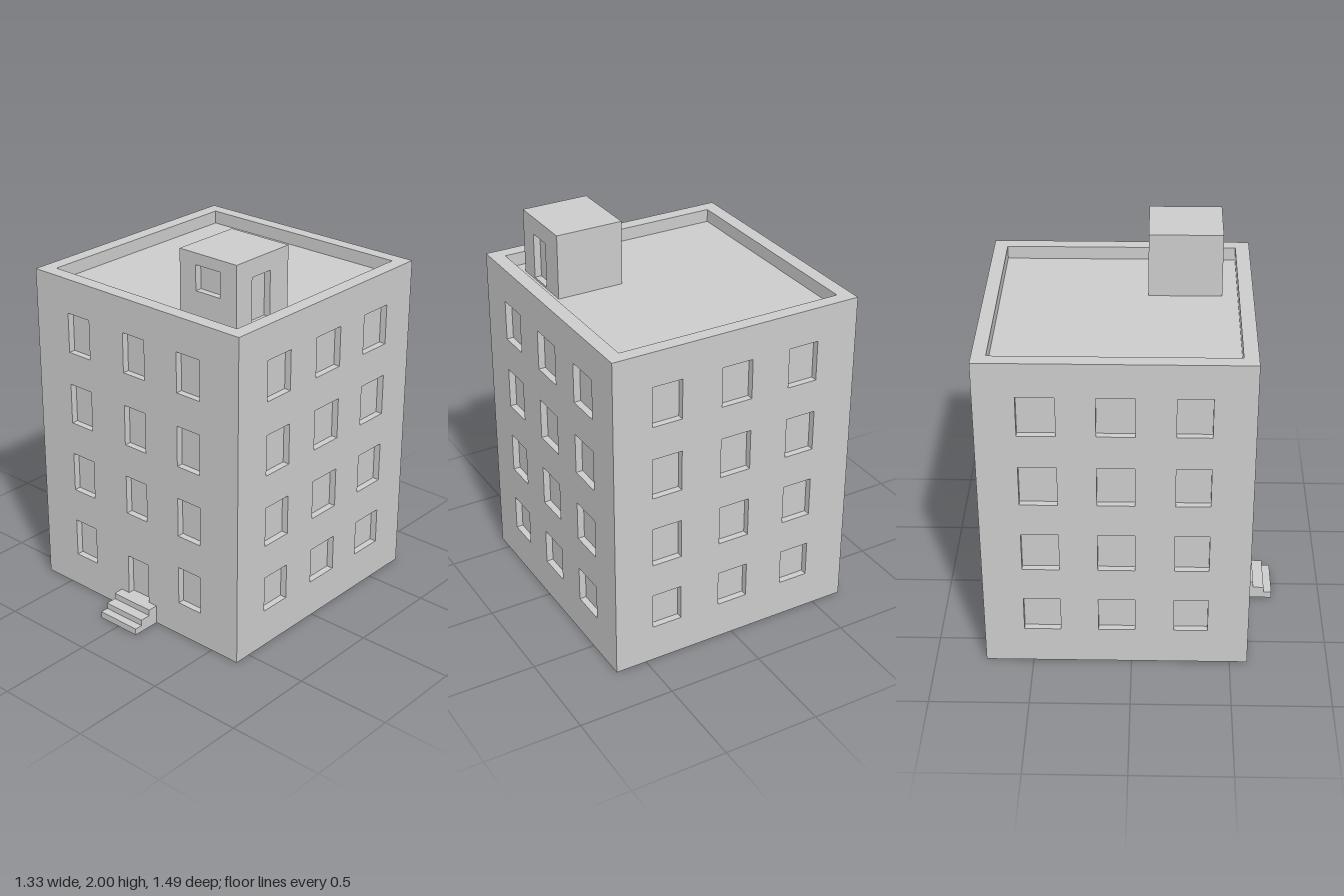
import * as THREE from 'three';

const material = new THREE.MeshStandardMaterial({ color: 0xcccccc, side: THREE.DoubleSide, flatShading: true });

function add(parent, name, geometry) {
  const mesh = new THREE.Mesh(geometry, material);
  mesh.name = name;
  parent.add(mesh);
  return mesh;
}

function rectangle(Type, x0, x1, y0, y1) {
  return new Type([[x0, y0], [x1, y0], [x1, y1], [x0, y1]].map(p => new THREE.Vector2(...p)));
}

// Recess seen from the front: a box without its +z face, turned inside out
function pocket(x0, x1, y0, y1, depth) {
  const g = new THREE.BoxGeometry(x1 - x0, y1 - y0, depth);
  const index = Array.from(g.index.array);
  index.splice(24, 6);
  g.setIndex(index.reverse());
  g.clearGroups();
  g.computeVertexNormals();
  return g.translate((x0 + x1) / 2, (y0 + y1) / 2, -depth / 2);
}

// Flat panel facing +z, base centred on the origin, with recessed openings
function facade(name, w, h, openings = [], depth = 0.035) {
  const group = new THREE.Group();
  group.name = name;
  const shape = rectangle(THREE.Shape, -w / 2, w / 2, 0, h);
  for (const [x0, x1, y0, y1, label] of openings) {
    shape.holes.push(rectangle(THREE.Path, x0, x1, y0, y1));
    add(group, label, pocket(x0, x1, y0, y1, depth));
  }
  add(group, name + 'Surface', new THREE.ShapeGeometry(shape));
  return group;
}

// Four walls and a top, open underneath
function block(name, w, h, d, { front, right, back, left, top, topDepth }) {
  const group = new THREE.Group();
  group.name = name;
  const place = (panel, x, y, z, rx, ry) => {
    panel.position.set(x, y, z);
    panel.rotation.set(rx, ry, 0);
    group.add(panel);
  };
  place(facade('frontWall', w, h, front), 0, 0, d / 2, 0, 0);
  place(facade('backWall', w, h, back), 0, 0, -d / 2, 0, Math.PI);
  place(facade('rightWall', d, h, right), w / 2, 0, 0, 0, Math.PI / 2);
  place(facade('leftWall', d, h, left), -w / 2, 0, 0, 0, -Math.PI / 2);
  place(facade('roof', w, d, top, topDepth), 0, h, d / 2, -Math.PI / 2, 0);
  return group;
}

function windowGrid(columns, rows) {
  return columns.flatMap(c => rows.map(r => [...c, ...r, 'window']));
}

function createSteps() {
  const group = new THREE.Group();
  group.name = 'entranceSteps';
  const width = 0.245;
  const edges = [0.743, 0.7, 0.643, 0.59];
  const heights = [0, 0.035, 0.067, 0.1];
  const profile = [[edges[3], 0], [edges[0], 0]];
  for (let i = 0; i < 3; i++) {
    const rise = heights[i + 1] - heights[i], run = edges[i] - edges[i + 1];
    add(group, 'riser', new THREE.PlaneGeometry(width, rise))
      .position.set(0, heights[i] + rise / 2, edges[i]);
    add(group, 'tread', new THREE.PlaneGeometry(width, run).rotateX(-Math.PI / 2))
      .position.set(0, heights[i + 1], edges[i] - run / 2);
    profile.push([edges[i], heights[i + 1]], [edges[i + 1], heights[i + 1]]);
  }
  // Stepped cheeks on both sides
  for (const side of [-1, 1]) {
    const shape = new THREE.Shape(profile.map(([z, y]) => new THREE.Vector2(-side * z, y)));
    add(group, 'stepSide', new THREE.ShapeGeometry(shape).rotateY(side * Math.PI / 2))
      .position.x = side * width / 2;
  }
  return group;
}

export function createModel() {
  const model = new THREE.Group();
  model.name = 'apartmentBuilding';

  // Main block with four storeys and a sunken roof behind a parapet
  const upper = [[0.57, 0.78], [0.955, 1.17], [1.345, 1.555]];
  const frontRows = [[0.185, 0.39], ...upper];
  const sideRows = [[0.2, 0.39], ...upper];
  const sideColumns = [[-0.46, -0.29], [-0.095, 0.09], [0.28, 0.465]];
  const main = block('mainBlock', 1.33, 1.735, 1.332, {
    front: [
      ...windowGrid([[-0.445, -0.3], [0.28, 0.425]], frontRows),
      ...windowGrid([[-0.07, 0.07]], upper),
      [-0.07, 0.07, 0.1, 0.32, 'frontDoor'],
    ],
    right: windowGrid(sideColumns, sideRows),
    left: windowGrid(sideColumns.map(([a, b]) => [-b, -a]), sideRows),
    back: windowGrid([[-0.46, -0.3], [-0.085, 0.08], [0.285, 0.445]], sideRows),
    top: [[-0.592, 0.592, 0.072, 1.262, 'roofWell']],
    topDepth: 0.068,
  });
  main.position.z = -0.076;
  model.add(main);

  // Stair house on the roof
  const house = block('stairHouse', 0.35, 0.333, 0.37, {
    front: [[-0.075, 0.075, 0.147, 0.275, 'window']],
    right: [[-0.075, 0.055, 0.01, 0.243, 'roofDoor']],
  });
  house.position.set(0.345, 1.667, 0.255);
  model.add(house);

  model.add(createSteps());
  return model;
}
